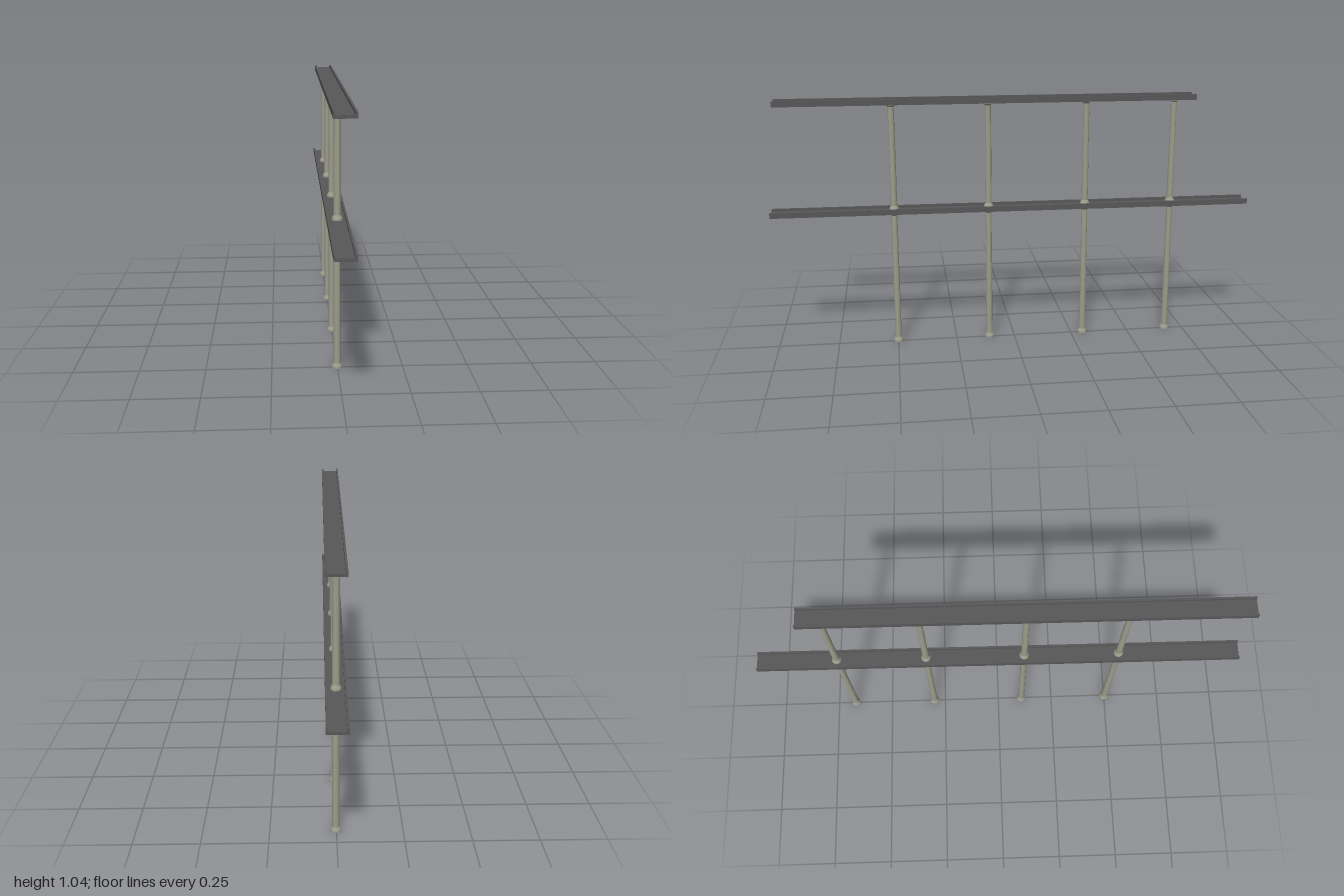
import * as THREE from 'three';

const railMat = new THREE.MeshStandardMaterial({ color: 0x575757 });
railMat.name = 'dark grey';
const postMat = new THREE.MeshStandardMaterial({ color: 0x9b9c8b, flatShading: true });
postMat.name = 'olive grey';

// Shallow open channel running from zBack to zFront, underside at y
function makeRail(name, y, zBack, zFront) {
  const w = 0.039, lip = 0.008, web = 0.011, h = 0.022;
  const shape = new THREE.Shape([
    [-w, 0], [w, 0], [w, h], [w - lip, h], [w - lip, web],
    [lip - w, web], [lip - w, h], [-w, h],
  ].map(([px, py]) => new THREE.Vector2(px, py)));
  const geo = new THREE.ExtrudeGeometry(shape, { depth: zFront - zBack, bevelEnabled: false });
  const rail = new THREE.Mesh(geo, railMat);
  rail.name = name;
  rail.position.set(0, y, zBack);
  return rail;
}

// Round post with a flared foot and a flared collar at the top
function makePost(name, y0, y1, z) {
  const h = y1 - y0;
  const profile = [
    [0, 0], [0.02, 0], [0.02, 0.007], [0.0135, 0.02],
    [0.0125, h - 0.012], [0.0175, h - 0.006], [0.0175, h], [0, h],
  ].map(([r, y]) => new THREE.Vector2(r, y));
  const post = new THREE.Mesh(new THREE.LatheGeometry(profile, 12), postMat);
  post.name = name;
  post.position.set(0, y0, z);
  return post;
}

export function createModel() {
  const model = new THREE.Group();
  model.name = 'railing';
  model.add(makeRail('lowerRail', 0.569, -1, 1));
  model.add(makeRail('upperRail', 1.02, -0.755, 0.965));
  // Two tiers of posts, unevenly spaced
  for (const z of [0.5, 0.108, -0.3, -0.67]) {
    model.add(makePost('lowerPost', 0, 0.57, z));
    model.add(makePost('upperPost', 0.58, 1.021, z));
  }
  // The whole run is turned very slightly off axis
  model.rotation.y = -0.004;
  return model;
}
